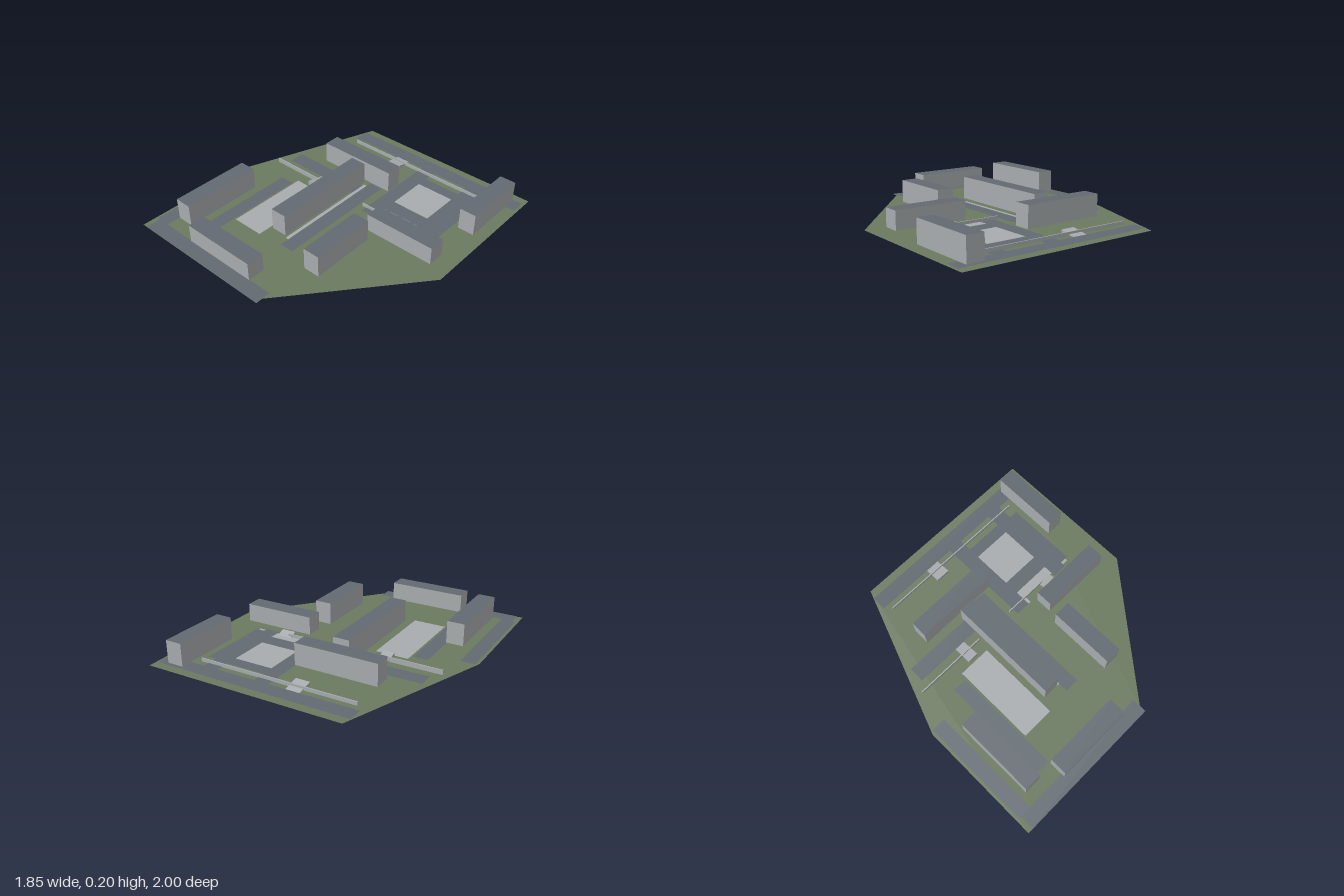
import * as THREE from 'three';

export function createModel() {
  const group = new THREE.Group();
  const mat = (name, color) => {
    const m = new THREE.MeshStandardMaterial({ color, side: THREE.DoubleSide });
    m.name = name;
    return m;
  };
  const grass = mat('grass green', 0x6c7a60);
  const slate = mat('slate grey', 0x626a71);
  const pale = mat('pale grey', 0xa8acae);

  const add = (name, geometry, material) => {
    const mesh = new THREE.Mesh(geometry, material);
    mesh.name = name;
    group.add(mesh);
    return mesh;
  };

  // Box from its limits
  const block = (name, [x0, x1, z0, z1], y0, y1, material) => {
    const mesh = add(name, new THREE.BoxGeometry(x1 - x0, y1 - y0, z1 - z0), material);
    mesh.position.set((x0 + x1) / 2, (y0 + y1) / 2, (z0 + z1) / 2);
  };

  // Flat rectangle laid just above the lawn
  const patch = (name, [x0, x1, z0, z1], y, material) => {
    const mesh = add(name, new THREE.PlaneGeometry(x1 - x0, z1 - z0).rotateX(-Math.PI / 2), material);
    mesh.position.set((x0 + x1) / 2, y, (z0 + z1) / 2);
  };

  // Six-sided lawn
  const outline = [[-0.925, 1], [0.21, 1], [0.21, 0.95], [0.925, 0.09], [0.925, -1], [-0.53, -1], [-0.925, 0.09]];
  const shape = new THREE.Shape(outline.map(([x, z]) => new THREE.Vector2(x, -z)));
  add('lawn', new THREE.ShapeGeometry(shape).rotateX(-Math.PI / 2), grass);

  // Roads and parking strips
  [
    [-0.55, 0.905, -0.94, -0.83],
    [0.1, 0.21, -0.83, -0.12],
    [0.5, 0.61, -0.83, -0.14],
    [0.61, 0.675, -0.71, -0.18],
    [0.21, 0.5, -0.73, -0.645],
    [0.21, 0.5, -0.35, -0.24],
    [-0.72, -0.09, -0.355, -0.24],
    [-0.065, 0.04, -0.41, 0.52],
    [-0.61, -0.505, -0.03, 0.77],
    [-0.905, -0.8, 0.07, 0.89],
    [-0.885, 0.21, 0.89, 1],
  ].forEach((r) => patch('road', r, 0.003, slate));

  // Paved courts and footpath
  [
    [0.21, 0.5, -0.645, -0.35],
    [0.21, 0.5, -0.24, -0.17],
    [0.21, 0.23, -0.17, -0.12],
    [0.61, 0.655, -0.18, -0.16],
    [-0.49, -0.25, -0.08, 0.54],
    [-0.09, -0.065, -0.37, 0.45],
  ].forEach((r) => patch('paving', r, 0.004, pale));

  // Apartment blocks: pale walls, slate roof and floor
  const faces = [pale, pale, slate, slate, pale, pale];
  [
    [[-0.757, -0.633, 0.22, 0.81], 0.037, 0.197],
    [[-0.507, 0.057, 0.79, 0.915], 0.035, 0.167],
    [[-0.21, -0.09, -0.37, 0.45], 0.024, 0.187],
    [[0.23, 0.352, 0.12, 0.6], 0.027, 0.187],
    [[0.272, 0.8, -0.093, 0.03], 0.015, 0.145],
    [[0.717, 0.838, -0.917, -0.41], 0.006, 0.168],
    [[-0.507, 0.1, -0.537, -0.415], 0.01, 0.167],
  ].forEach(([r, y0, y1]) => block('apartmentBlock', r, y0, y1, faces));

  // Low retaining walls
  [
    [-0.78, -0.235, -0.17, 0.034],
    [0.065, 0.4, -0.17, 0.025],
    [-0.507, 0.67, -0.78, 0.025],
  ].forEach(([x0, x1, z, h]) => block('retainingWall', [x0, x1, z - 0.004, z + 0.004], 0, h, pale));

  // Sloped ramps across the walls, rising towards the front
  [
    [-0.4, -0.32, -0.245, -0.1, 0.034],
    [0.375, 0.48, -0.2, -0.125, 0.025],
    [-0.13, -0.025, -0.835, -0.71, 0.025],
  ].forEach(([x0, x1, z0, z1, h]) => {
    const side = new THREE.Shape([
      new THREE.Vector2(-z0, 0), new THREE.Vector2(-z1, h), new THREE.Vector2(-z1, 0),
    ]);
    const geometry = new THREE.ExtrudeGeometry(side, { depth: x1 - x0, bevelEnabled: false });
    add('ramp', geometry.rotateY(Math.PI / 2).translate(x0, 0, 0), pale);
  });

  return group;
}
